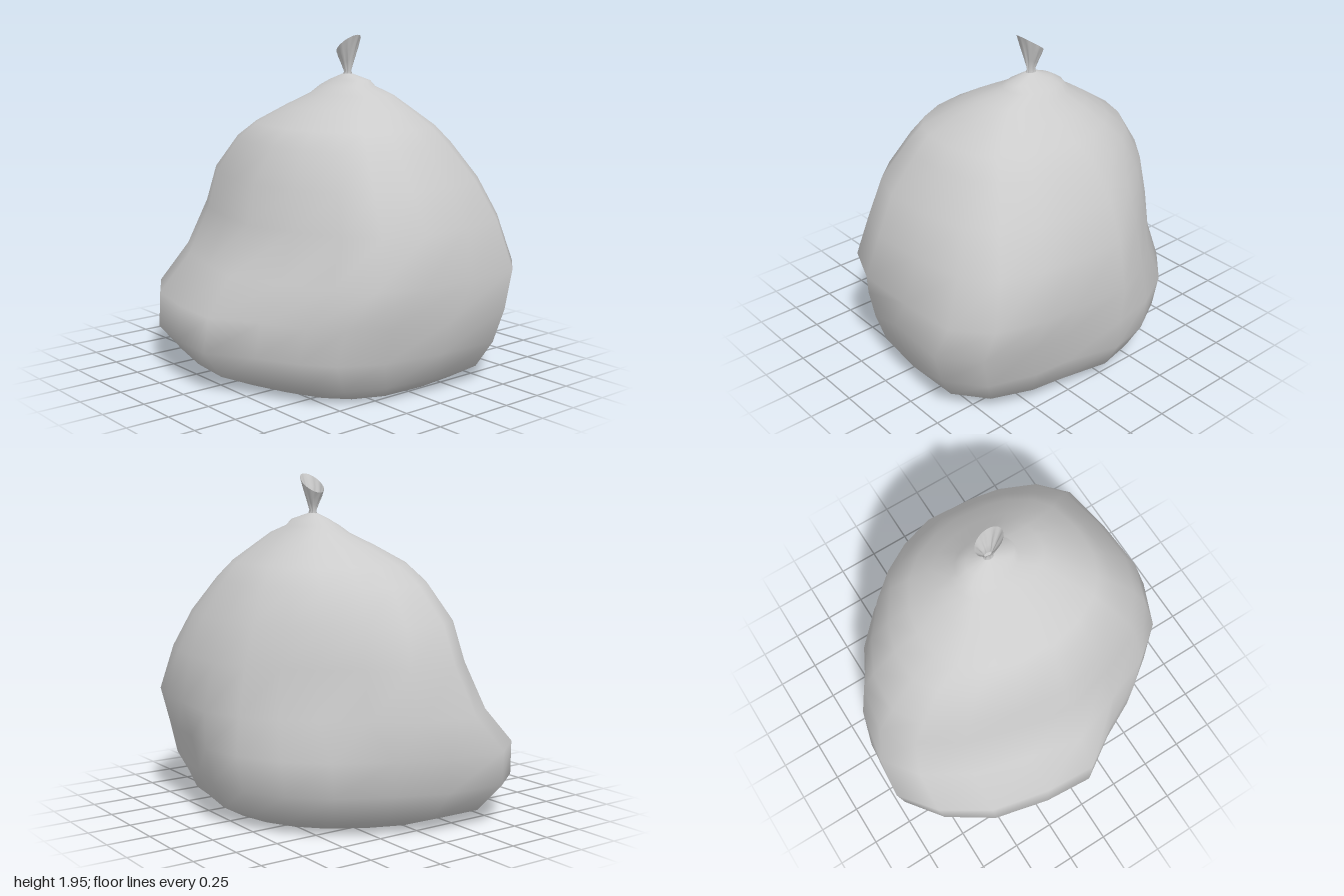
import * as THREE from 'three';

const material = new THREE.MeshStandardMaterial({ color: 0xcccccc, side: THREE.DoubleSide });

// Smooth skin over a stack of closed rings, optionally capped underneath
function skin(name, rings, capBottom) {
  const n = rings[0].length, index = [];
  const points = rings.flat();
  for (let r = 0; r < rings.length - 1; r++) {
    for (let i = 0; i < n; i++) {
      const a = r * n + i, b = r * n + (i + 1) % n;
      index.push(a, a + n, b, b, a + n, b + n);
    }
  }
  if (capBottom) {
    const centre = new THREE.Vector3();
    rings[0].forEach(p => centre.addScaledVector(p, 1 / n));
    points.push(centre);
    for (let i = 0; i < n; i++) index.push(points.length - 1, i, (i + 1) % n);
  }
  const geometry = new THREE.BufferGeometry().setFromPoints(points);
  geometry.setIndex(index);
  geometry.computeVertexNormals();
  const mesh = new THREE.Mesh(geometry, material);
  mesh.name = name;
  return mesh;
}

// Lopsided plan outline of the full belly: x, z
const outline = [
  [-0.42, -1], [-0.06, -0.97], [0.23, -0.85], [0.53, -0.69], [0.73, -0.5],
  [0.86, -0.26], [0.91, 0], [0.82, 0.33], [0.8, 0.55], [0.71, 0.83],
  [0.5, 1], [0.1, 0.98], [-0.27, 0.91], [-0.5, 0.78], [-0.63, 0.61],
  [-0.75, 0.37], [-0.92, 0.11], [-0.9, -0.2], [-0.82, -0.55], [-0.64, -0.83],
];

// Levels: y, min x, max x, min z, max z, roundness, fullness of the front right corner
const levels = [
  [0, -0.61, 0.64, -0.64, 0.74, 0.4, 0.08],
  [0.085, -0.81, 0.79, -0.86, 0.86, 0.2, 0.05],
  [0.24, -0.92, 0.87, -0.97, 0.94, 0, 0.01],
  [0.44, -0.9, 0.9, -1, 1, 0, 0],
  [0.65, -0.75, 0.91, -0.98, 1, 0.1, 0.18],
  [0.92, -0.62, 0.85, -0.9, 0.94, 0.3, 0.2],
  [1.14, -0.57, 0.77, -0.8, 0.84, 0.5, 0.16],
  [1.34, -0.45, 0.65, -0.63, 0.69, 0.7, 0.1],
  [1.44, -0.37, 0.56, -0.48, 0.61, 0.8, 0.05],
  [1.54, -0.19, 0.44, -0.32, 0.46, 0.9, 0],
  [1.61, -0.05, 0.35, -0.2, 0.35, 1, 0],
  [1.655, 0.03, 0.3, -0.16, 0.205, 1, 0],
  [1.69, 0.08, 0.25, -0.1, 0.19, 1, 0],
  [1.725, 0.135, 0.185, 0, 0.06, 1, 0],
];

function levelRing([y, x0, x1, z0, z1, round, full]) {
  const pts = outline.map(([x, z]) => {
    const a = Math.atan2(z, x);
    const soft = 1 + 0.04 * Math.sin(2 * a) ** 2;
    const swell = 1 + full * Math.cos(a - Math.PI * 0.75) ** 3;
    return [
      swell * THREE.MathUtils.lerp(x, soft * Math.cos(a), round),
      swell * THREE.MathUtils.lerp(z, soft * Math.sin(a), round),
    ];
  });
  const fit = (k, lo, hi) => {
    const values = pts.map(p => p[k]);
    const min = Math.min(...values), max = Math.max(...values);
    return v => THREE.MathUtils.mapLinear(v, min, max, lo, hi);
  };
  const fx = fit(0, x0, x1), fz = fit(1, z0, z1);
  return pts.map(([x, z]) => new THREE.Vector3(fx(x), y, fz(z)));
}

// Gathered end: pleated funnel whose rim slopes down to the back
function neckRing([y, rx, rz, z, tilt, pleat]) {
  return Array.from({ length: 32 }, (_, i) => {
    const a = i / 32 * Math.PI * 2;
    const r = 1 + pleat * Math.cos(a * 8);
    return new THREE.Vector3(
      0.16 + rx * r * Math.cos(a), y + tilt * Math.sin(a), z + rz * r * Math.sin(a));
  });
}

export function createModel() {
  const group = new THREE.Group();
  group.name = 'tiedSack';
  group.add(skin('sackBody', levels.map(levelRing), true));
  // y, x radius, z radius, centre z, rim tilt, pleat depth
  group.add(skin('tiedNeck', [
    [1.71, 0.025, 0.035, 0.03, 0, 0.1],
    [1.74, 0.012, 0.026, 0.03, 0.004, 0.15],
    [1.79, 0.028, 0.038, 0.032, 0.018, 0.15],
    [1.85, 0.05, 0.06, 0.035, 0.04, 0.08],
    [1.897, 0.063, 0.082, 0.037, 0.055, 0],
  ].map(neckRing), false));
  return group;
}
